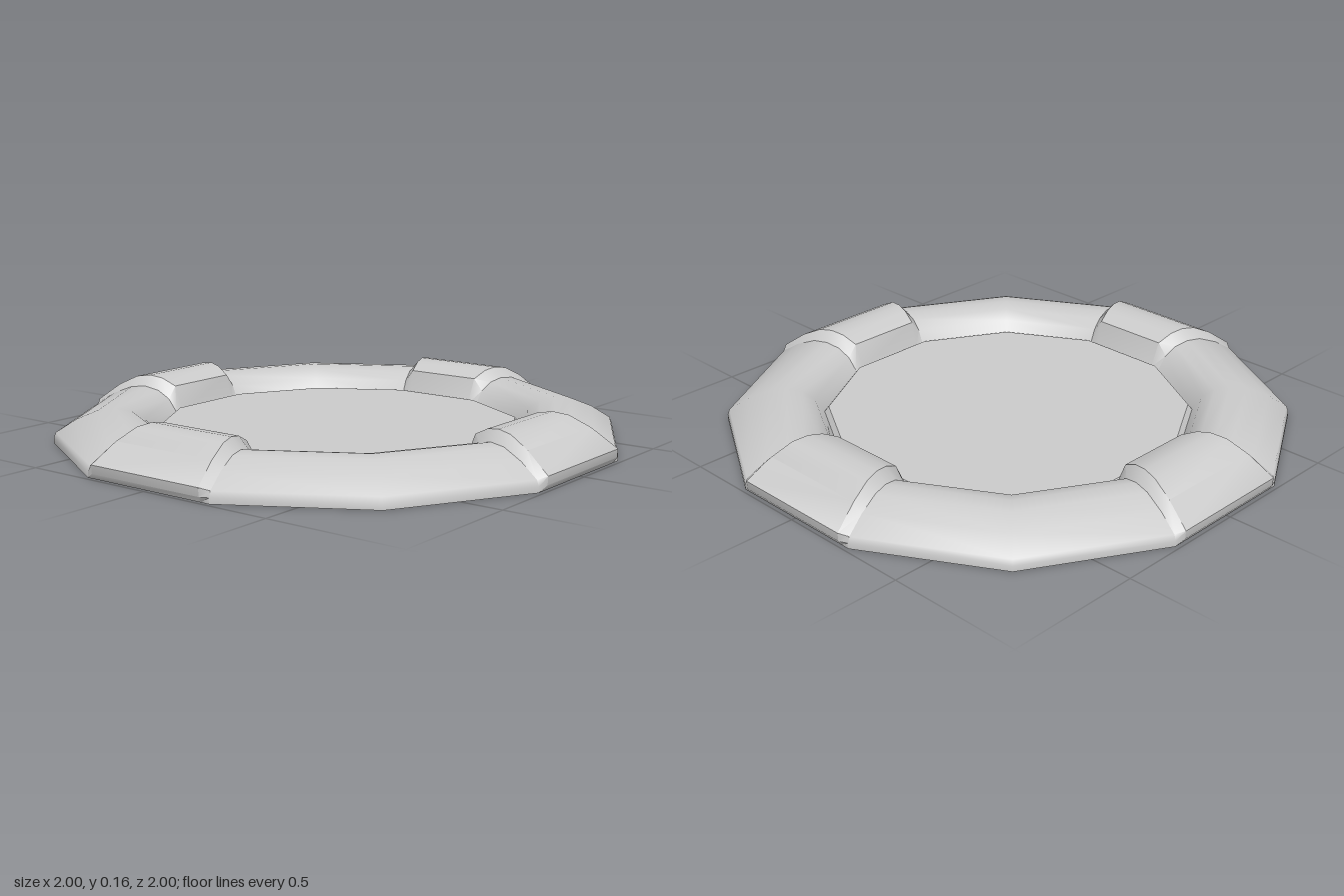
import * as THREE from 'three';
import { toCreasedNormals } from 'three/addons/utils/BufferGeometryUtils.js';

const STEP = Math.PI / 12; // 15 degrees, half of one side of the twelve-sided plan
const material = new THREE.MeshStandardMaterial({ color: 0xcccccc, side: THREE.DoubleSide });

// Section of the tube (corner radius, height), from outer foot over the top to the inner edge
const tubeProfile = [
  [1.02, 0], [1.02, 0.02], [1.012, 0.04], [0.94, 0.085], [0.86, 0.117],
  [0.8, 0.122], [0.745, 0.11], [0.7, 0.08], [0.668, 0.03],
];
// Raised section of a band (distance from centre, height), one point per tube point
const bandProfile = [
  [0.985, 0], [0.998, 0.02], [1, 0.05], [0.91, 0.115], [0.835, 0.152],
  [0.78, 0.16], [0.73, 0.152], [0.675, 0.125], [0.645, 0.03],
];

function add(parent, name, geometry, angle = 0) {
  const mesh = new THREE.Mesh(geometry, material);
  mesh.name = name;
  mesh.rotation.y = angle;
  parent.add(mesh);
}

// Band over one side of the ring, with edges sloping down onto the tube
function bandGeometry() {
  const positions = [];
  const index = [];
  const slope = Math.tan(STEP);
  bandProfile.forEach(([z, y], i) => {
    const [r, footY] = tubeProfile[i];
    const footX = r * Math.sin(STEP);
    const footZ = r * Math.cos(STEP);
    const topX = z * slope - 0.035;
    positions.push(-footX, footY, footZ, -topX, y, z, topX, y, z, footX, footY, footZ);
    if (i === 0) return;
    for (let j = 0; j < 3; j++) {
      const a = (i - 1) * 4 + j;
      index.push(a, a + 1, a + 5, a, a + 5, a + 4);
    }
  });
  const geometry = new THREE.BufferGeometry();
  geometry.setAttribute('position', new THREE.Float32BufferAttribute(positions, 3));
  geometry.setIndex(index);
  return toCreasedNormals(geometry, 0.6);
}

const lathe = (points, segments, start, length) =>
  new THREE.LatheGeometry(points.map(([r, y]) => new THREE.Vector2(r, y)), segments, start, length);

export function createModel() {
  const model = new THREE.Group();
  model.name = 'ringFloat';

  // Four tube sections with a band between each pair
  const tube = lathe(tubeProfile, 2, STEP, STEP * 4);
  const band = bandGeometry();
  for (let k = 0; k < 4; k++) {
    add(model, 'tubeSection', tube, k * Math.PI / 2);
    add(model, 'band', band, k * Math.PI / 2);
  }

  // Narrow lip joining the tube to the floor
  const lip = lathe([[0.668, 0.03], [0.652, 0.05]], 12, STEP, Math.PI * 2);
  add(model, 'floorLip', toCreasedNormals(lip, 0.2));

  // Thin floor
  const floor = new THREE.CircleGeometry(0.652, 12, STEP);
  floor.rotateX(-Math.PI / 2);
  floor.translate(0, 0.05, 0);
  add(model, 'floor', floor);

  return model;
}
